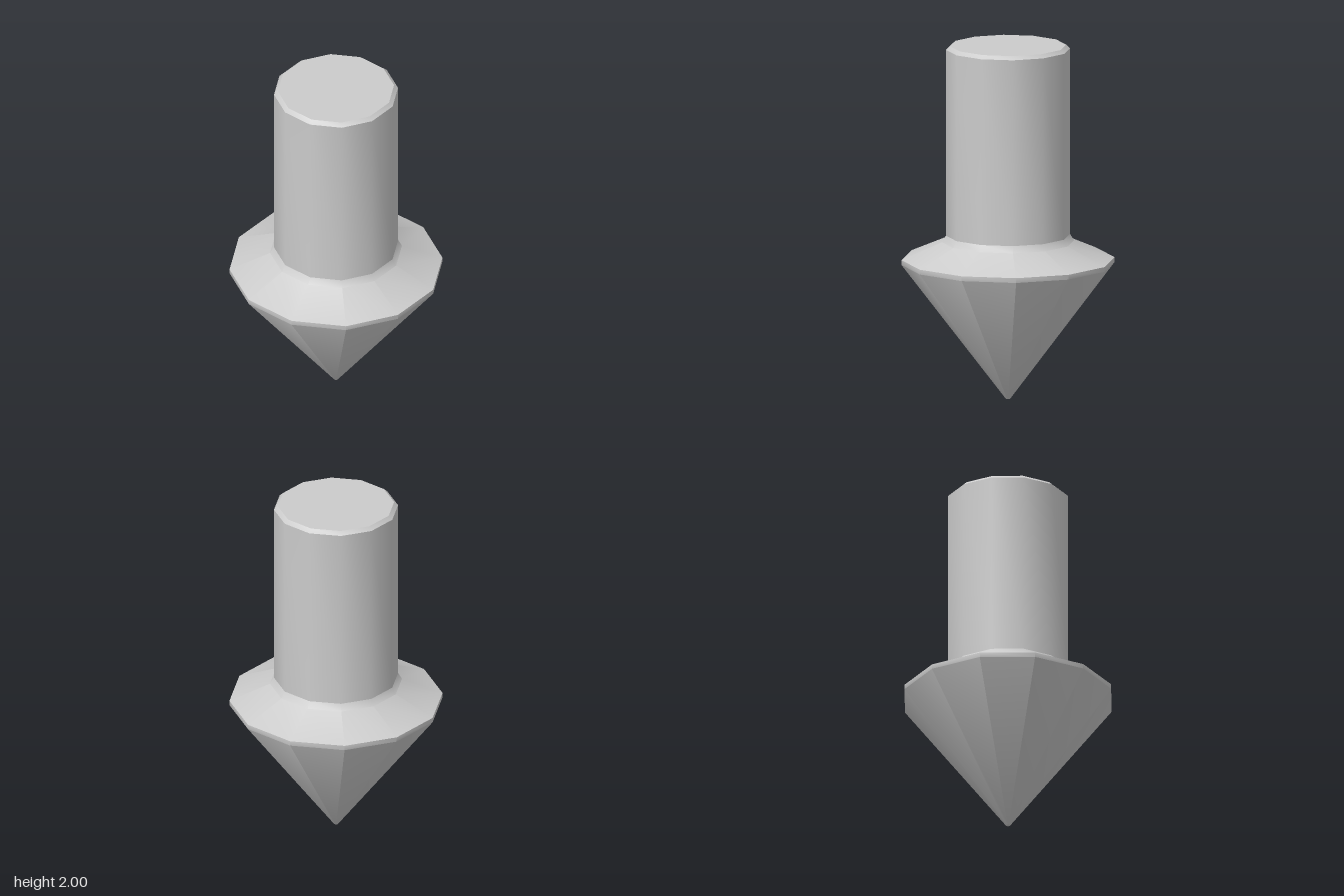
import * as THREE from 'three';
import { toCreasedNormals } from 'three/addons/utils/BufferGeometryUtils.js';

const SIDES = 12;

// Twelve-sided turned part from a [radius, height] profile, listed bottom to top
function turned(name, profile) {
  const points = profile.map(([r, y]) => new THREE.Vector2(r, y));
  const geometry = toCreasedNormals(new THREE.LatheGeometry(points, SIDES), 0.64);
  const mesh = new THREE.Mesh(geometry, new THREE.MeshStandardMaterial({ color: 0xcccccc }));
  mesh.name = name;
  return mesh;
}

export function createModel() {
  const group = new THREE.Group();
  group.name = 'pointedPeg';

  // Conical point with blunted tip, narrow rim, sloped shoulder and fillet
  group.add(turned('pointedHead', [
    [0, 0], [0.012, 0.003], [0.022, 0.016],
    [0.594, 0.768], [0.594, 0.795],
    [0.368, 0.893], [0.346, 0.93],
  ]));

  // Straight shank with a chamfered, closed top
  group.add(turned('shank', [
    [0.346, 0.93], [0.346, 1.98], [0.324, 2], [0, 2],
  ]));

  return group;
}
